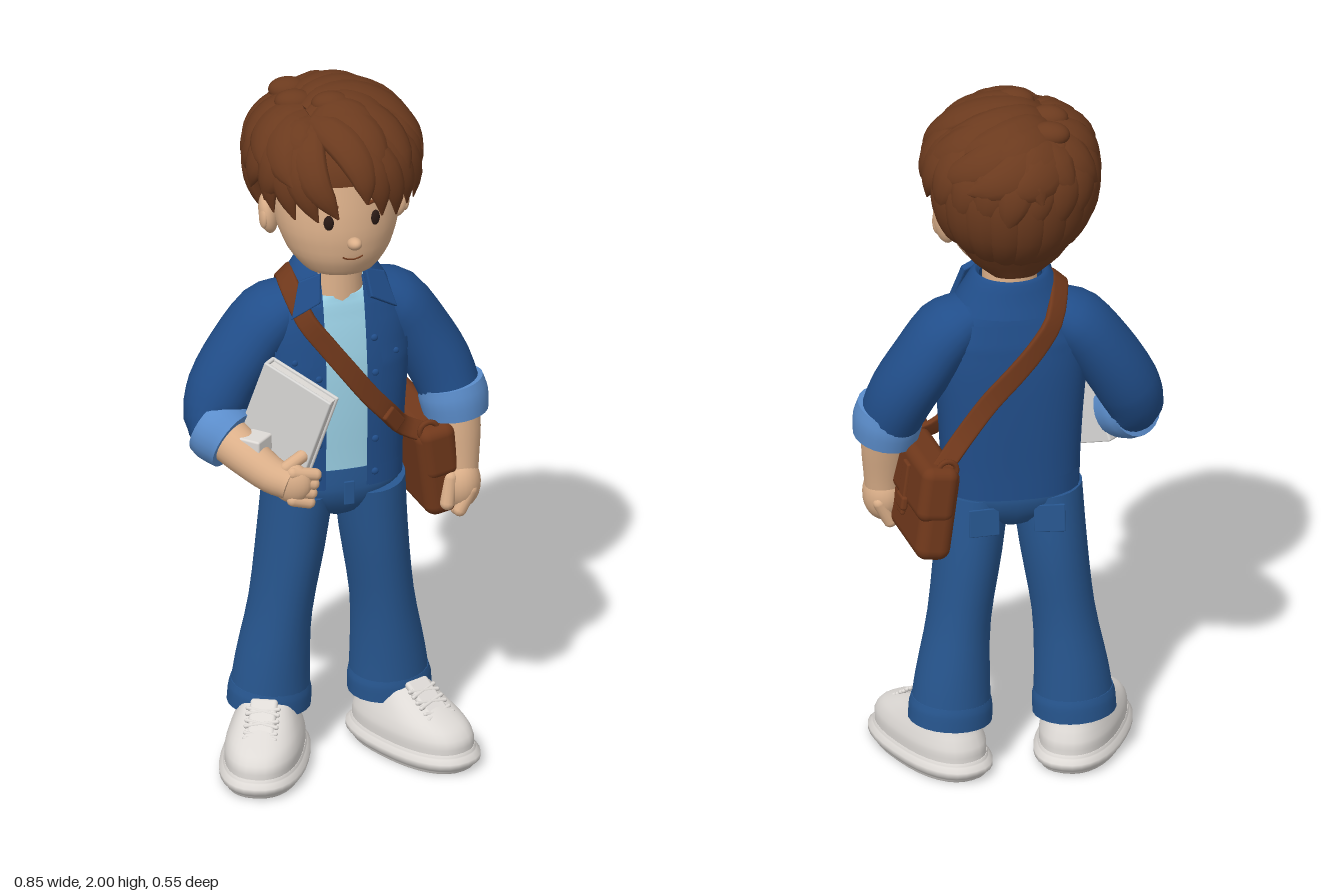
import * as THREE from 'three';
import { RoundedBoxGeometry } from 'three/addons/geometries/RoundedBoxGeometry.js';

const V = (x, y, z) => new THREE.Vector3(x, y, z);
const colours = {
  jacketDenim: 0x214e8a, jeansDenim: 0x27568f, cuffBlue: 0x5b8dcb, shirtBlue: 0x9dd3e8, skin: 0xdcb08a,
  hairBrown: 0x6b3a1e, leather: 0x70381b, shoeWhite: 0xdedad6, bookGrey: 0xd8d7d5, darkBrown: 0x2a1a15,
};
const M = {};
for (const [name, color] of Object.entries(colours)) {
  M[name] = new THREE.MeshStandardMaterial({ color, side: THREE.DoubleSide });
  M[name].name = name;
}

// Smooth skin through rings [x, y, z, halfWidth, halfDepth]; flat keeps rings level, gap leaves the front open
function loft(rings, { seg = 24, p = 1, flat = false, gap = 0, sub = 3, ref = () => V(0, 0, 1) } = {}) {
  const path = new THREE.CatmullRomCurve3(rings.map(r => V(r[0], r[1], r[2])));
  const size = new THREE.CatmullRomCurve3(rings.map(r => V(r[3], r[4] ?? r[3], 0)));
  const steps = (rings.length - 1) * sub, n = gap ? seg + 1 : seg, pos = [], idx = [];
  const bend = v => Math.sign(v) * Math.abs(v) ** p;
  for (let j = 0; j <= steps; j++) {
    const c = path.getPoint(j / steps), s = size.getPoint(j / steps);
    const t = flat ? V(0, 1, 0) : path.getTangent(j / steps);
    const side = t.clone().cross(ref(c)).normalize(), front = side.clone().cross(t);
    const g = gap ? Math.asin(Math.min(1, gap / s.x) ** (1 / p)) : 0;
    for (let i = 0; i < n; i++) {
      const u = Math.PI / 2 + g + (i / seg) * (2 * Math.PI - 2 * g);
      const q = c.clone().addScaledVector(side, s.x * bend(Math.cos(u))).addScaledVector(front, s.y * bend(Math.sin(u)));
      pos.push(q.x, q.y, q.z);
    }
  }
  for (let j = 0; j < steps; j++) for (let i = 0; i < seg; i++) {
    const a = j * n + i, c = j * n + (i + 1) % n;
    idx.push(a, a + n, c, a + n, c + n, c);
  }
  if (!gap) for (const end of [0, steps]) {
    const base = pos.length / 3, c = path.getPoint(end / steps);
    for (let i = 0; i < n; i++) pos.push(...pos.slice((end * n + i) * 3, (end * n + i) * 3 + 3));
    pos.push(c.x, c.y, c.z);
    for (let i = 0; i < n; i++) {
      const k = base + (i + 1) % n;
      idx.push(base + n, end ? k : base + i, end ? base + i : k);
    }
  }
  const geo = new THREE.BufferGeometry();
  geo.setAttribute('position', new THREE.Float32BufferAttribute(pos, 3));
  geo.setIndex(idx);
  geo.computeVertexNormals();
  return geo;
}

function add(parent, name, geo, mat, at = [0, 0, 0], rot = [0, 0, 0], scale = [1, 1, 1]) {
  const m = new THREE.Mesh(geo, mat);
  m.name = name;
  m.position.set(...at); m.rotation.set(...rot); m.scale.set(...scale);
  parent.add(m);
  return m;
}
const ball = (parent, name, mat, at, scale, rot) => add(parent, name, new THREE.SphereGeometry(1, 24, 16), mat, at, rot, scale);
function capsule(parent, name, mat, a, b, r) {
  const p = V(...a), d = V(...b).sub(p), m = add(parent, name, new THREE.CapsuleGeometry(r, d.length(), 6, 12), mat);
  m.position.copy(p).addScaledVector(d, 0.5);
  m.quaternion.setFromUnitVectors(V(0, 1, 0), d.normalize());
}

// Torso rings, and the depth of the chest or back at a given point
const torso = [[0, .84, 0, .188, .128], [0, .92, 0, .19, .13], [0, 1.05, 0, .197, .135], [0, 1.2, -.002, .208, .135],
  [0, 1.3, -.005, .206, .125], [0, 1.37, -.005, .18, .112], [0, 1.42, -.005, .135, .1], [0, 1.45, -.005, .1, .09]];
function surfaceZ(x, y, s = 1) {
  let k = 0;
  while (k < torso.length - 2 && y > torso[k + 1][1]) k++;
  const f = (y - torso[k][1]) / (torso[k + 1][1] - torso[k][1]);
  const [, , z, a, b] = torso[k].map((v, i) => v + (torso[k + 1][i] - v) * f);
  return z + s * b * Math.max(0, 1 - Math.abs(x / a) ** 2.5) ** .4;
}
// Thin cloth plate lying on the torso
function patch(parent, name, mat, x, y, w, h, off, s = 1) {
  const geo = new THREE.PlaneGeometry(w, h, 14, 10), P = geo.attributes.position;
  for (let i = 0; i < P.count; i++) {
    const px = P.getX(i) + x, py = P.getY(i) + y;
    P.setXYZ(i, px, py, surfaceZ(px, py, s) + s * off);
  }
  geo.computeVertexNormals();
  add(parent, name, geo, mat);
}

function buildHead(g) {
  add(g, 'neck', new THREE.CylinderGeometry(.072, .08, .18, 24), M.skin, [0, 1.44, .01]);
  add(g, 'head', loft([[0, 1.475, .07, .03, .03], [0, 1.495, .06, .1, .095], [0, 1.55, .045, .143, .14], [0, 1.62, .03, .168, .165],
    [0, 1.7, .01, .175, .18], [0, 1.8, 0, .165, .175], [0, 1.88, 0, .08, .08]], { flat: true, seg: 32 }), M.skin);
  ball(g, 'nose', M.skin, [0, 1.61, .203], [.02, .018, .03], [-.3, 0, 0]);
  add(g, 'mouth', new THREE.TorusGeometry(.05, .0022, 6, 16, 1.2), M.leather, [0, 1.606, .187], [0, 0, -Math.PI / 2 - .6]);
  for (const s of [1, -1]) {
    ball(g, 'ear', M.skin, [s * .182, 1.635, -.005], [.026, .06, .042], [0, s * .35, -s * .15]);
    ball(g, 'innerEar', M.skin, [s * .2, 1.632, .012], [.012, .035, .022]);
    ball(g, 'eye', M.darkBrown, [s * .066, 1.67, .179], [.014, .022, .009], [0, s * .35, 0]);
    capsule(g, 'eyebrow', M.leather, [s * .045, 1.718, .185], [s * .095, 1.724, .165], .005);
  }
}

function buildHair(g) {
  const C = V(0, 1.765, -.005);
  const onHair = (d, k) => V(d.x * .22, d.y * (d.y < 0 ? .26 : .19), d.z * .234).multiplyScalar(k).add(C);
  const aim = (az, th) => V(Math.sin(th) * Math.sin(az), Math.cos(th), Math.sin(th) * Math.cos(az));
  add(g, 'hairCap', new THREE.SphereGeometry(1, 32, 16, 0, Math.PI * 2, 0, 1.6), M.hairBrown, [0, 1.765, -.012], [-.12, 0, 0], [.212, .187, .224]);
  add(g, 'hairBack', loft([[0, 1.505, -.085, .06, .03], [0, 1.56, -.095, .12, .055], [0, 1.64, -.105, .165, .095], [0, 1.74, -.11, .185, .13],
    [0, 1.84, -.09, .17, .12]], { flat: true }), M.hairBrown);
  let seed = 7;
  const rnd = () => (seed = (seed * 16807) % 2147483647) / 2147483647;
  // A pointed lock curving over the skull between two directions, its tip flicked outwards
  function lock(name, from, to, w, k, flick = .06, curl = .12) {
    const across = from.clone().cross(to).normalize();
    const rings = [.45, .9, 1, .9, .6, .06].map((f, i) => {
      const t = i / 5, d = from.clone().lerp(to, t).addScaledVector(across, curl * Math.sin(t * Math.PI)).normalize();
      const p = onHair(d, k + .035 * Math.sin(t * Math.PI) + flick * t * t);
      return [p.x, p.y, p.z, w * f, w * .5 * f];
    });
    add(g, name, loft(rings, { seg: 12, ref: p => p.clone().sub(C) }), M.hairBrown);
  }
  const part = z => V(-.38, .9, z / .234).normalize();
  for (let i = 0; i < 9; i++) {
    const a = 1.98 + i * .29;
    lock('napeLock', aim(a, .8), aim(a, 2.32 + .25 * Math.sin(i * Math.PI / 8)), .058, .97, -.02, .04);
  }
  for (let i = 0; i < 15; i++) {
    const a = .95 + i * .31;
    lock('sideLock', aim(a, .5), aim(a + .1, 1.62 + rnd() * .2), .058 + rnd() * .012, .98, .05 + rnd() * .06);
  }
  for (let i = 0; i < 13; i++) { // middle layer fanning out of the parting
    const a = .25 + i * .44;
    lock('middleLock', part(.08 * Math.cos(a) - .02), aim(a, 1.25 + rnd() * .2), .06 + rnd() * .012, 1.0, .1 + rnd() * .06, a < Math.PI ? .2 : -.15);
  }
  for (let i = 0; i < 7; i++) { // long locks sweeping across the crown
    const a = .35 + i * .42;
    lock('crownLock', part(.1 - i * .035), aim(a, .88 + rnd() * .2), .058 + rnd() * .01, 1.03, .05, .2);
  }
  for (let i = 0; i < 4; i++) lock('crownLock', part(.08 - i * .06), aim(-.6 - i * .55, .95 + rnd() * .15), .05, 1.03, .06, -.15);
  const fringe = [[-1.1, 1.86, 1], [-.78, 1.86, 1], [-.48, 1.84, 1.01], [-.24, 1.78, 1.03], [.08, 1.62, 1.07], [.3, 1.8, 1.03], [.55, 1.87, 1.02],
    [.8, 1.84, 1], [1.08, 1.88, 1]];
  for (const [a, th, k] of fringe) lock('fringeLock', part(.09), aim(a, th), .05, k, .06, a < 0 ? -.12 : .12);
  for (const [x, y, z] of [[-.09, 1.94, -.12], [-.1, 1.945, -.03], [-.02, 1.965, .05]])
    ball(g, 'crownTuft', M.hairBrown, [x, y, z], [.055, .034, .04], [0, -.3, 0]);
}

function buildClothes(g) {
  const inner = torso.slice(0, 6).map(([x, y, z, a, b]) => [x, y, z, a - .014, b - .014]);
  add(g, 'shirt', loft([...inner, [0, 1.4, 0, .09, .085]], { flat: true, p: .8, seg: 32 }), M.shirtBlue);
  add(g, 'jacket', loft(torso, { flat: true, p: .8, seg: 48, gap: .058 }), M.jacketDenim);
  add(g, 'collar', loft([[0, 1.385, -.004, .165, .128], [0, 1.43, -.004, .138, .112], [0, 1.485, -.004, .098, .092], [0, 1.47, -.004, .086, .08]],
    { flat: true, gap: .066, seg: 36 }), M.jacketDenim);
  for (const s of [1, -1]) {
    patch(g, 'placket', M.jacketDenim, s * .078, 1.11, .036, .53, .006);
    for (let i = 0; i < 5; i++) ball(g, 'button', M.jacketDenim, [s * .08, .88 + i * .1, surfaceZ(.08, .88 + i * .1) + .007], [.01, .01, .006]);
    patch(g, 'chestPocket', M.jacketDenim, s * .143, 1.185, .082, .1, .006);
    patch(g, 'pocketFlap', M.jacketDenim, s * .143, 1.235, .09, .035, .012);
    ball(g, 'button', M.jacketDenim, [s * .143, 1.23, surfaceZ(.143, 1.23) + .013], [.009, .009, .005]);
    patch(g, 'hemBand', M.jacketDenim, s * .12, .868, .115, .055, .006);
    const wing = new THREE.Shape([[0, .07], [.055, .055], [.085, -.04], [.01, -.005]].map(q => new THREE.Vector2(s * q[0], q[1])));
    add(g, 'collarWing', new THREE.ExtrudeGeometry(wing, { depth: .012, bevelSize: .004, bevelThickness: .004, bevelSegments: 2 }),
      M.jacketDenim, [s * .062, 1.405, .108], [-.38, s * .35, 0]);
    // Trouser leg, turn-up and back pocket
    add(g, 'trouserLeg', loft([[s * .1, .82, .005, .098, .118], [s * .117, .65, -.008, .092, .12], [s * .143, .45, -.018, .086, .11],
      [s * .163, .27, -.03, .102, .111], [s * .17, .16, -.035, .112, .112]]), M.jeansDenim);
    add(g, 'turnUp', loft([[s * .168, .215, -.033, .108, .112], [s * .169, .19, -.034, .114, .115], [s * .171, .15, -.035, .115, .114]]), M.jeansDenim);
    add(g, 'backPocket', new RoundedBoxGeometry(.085, .08, .008, 2, .003), M.jeansDenim, [s * .09, .77, -.115], [.08, s * .1, 0]);
  }
  patch(g, 'backYoke', M.jacketDenim, 0, 1.315, .3, .1, .006, -1);
  patch(g, 'backHem', M.jacketDenim, 0, .868, .35, .055, .006, -1);
  add(g, 'hips', loft([[0, .725, 0, .03, .05], [0, .745, 0, .08, .085], [0, .79, 0, .165, .113], [0, .83, 0, .188, .122], [0, .89, 0, .178, .118]],
    { flat: true, p: .9 }), M.jeansDenim);
  add(g, 'fly', new RoundedBoxGeometry(.03, .07, .008, 2, .003), M.jeansDenim, [.01, .82, .12]);
}

function buildLeftArm(g) {
  add(g, 'leftSleeve', loft([[.11, 1.365, -.01, .06, .085], [.18, 1.315, -.02, .088, .11], [.245, 1.22, -.018, .09, .112],
    [.3, 1.12, .002, .09, .106], [.33, 1.03, .028, .083, .095]]), M.jacketDenim);
  add(g, 'leftCuff', loft([[.325, 1.075, .025, .09, .101], [.332, 1.035, .03, .095, .105], [.338, .985, .035, .089, .1]]), M.cuffBlue);
  add(g, 'leftForearm', loft([[.332, 1.04, .035, .07], [.335, .94, .053, .066, .062], [.337, .86, .065, .056, .054], [.337, .8, .072, .05]]), M.skin);
  ball(g, 'leftHand', M.skin, [.336, .79, .075], [.058, .078, .064]);
  for (let i = 0; i < 4; i++) capsule(g, 'leftFinger', M.skin, [.355, .78, .028 + i * .03], [.325, .712 + Math.abs(i - 1.5) * .007, .032 + i * .028], .0185);
  capsule(g, 'leftThumb', M.skin, [.3, .82, .11], [.288, .75, .12], .02);
}

function buildRightArm(g) {
  add(g, 'rightSleeve', loft([[-.11, 1.365, -.01, .06, .085], [-.18, 1.315, -.02, .088, .11], [-.255, 1.22, -.02, .09, .108],
    [-.315, 1.12, -.014, .09, .1], [-.34, 1.05, .005, .082, .085], [-.325, 1.015, .045, .08, .08]]), M.jacketDenim);
  add(g, 'rightCuff', loft([[-.35, 1.03, .015, .088], [-.332, 1.018, .04, .093], [-.305, 1, .075, .086]], { ref: () => V(0, 1, 0) }), M.cuffBlue);
  add(g, 'rightForearm', loft([[-.335, 1.02, .04, .066], [-.285, .98, .13, .058], [-.23, .94, .195, .05], [-.19, .925, .225, .045]],
    { ref: () => V(0, 1, 0) }), M.skin);
  add(g, 'wristBand', new RoundedBoxGeometry(.075, .05, .065, 2, .006), M.shoeWhite, [-.262, 1.015, .14], [0, .75, 0]);
  ball(g, 'rightHand', M.skin, [-.185, .925, .223], [.056, .058, .034], [0, -.5, 0]);
  for (let i = 0; i < 4; i++) capsule(g, 'rightFinger', M.skin, [-.185, .96 - i * .027, .238], [-.122 - i * .006, .948 - i * .027, .238], .0175);
  capsule(g, 'rightThumb', M.skin, [-.2, .97, .22], [-.15, .995, .21], .018);
}

function buildBook(g) {
  const book = new THREE.Group();
  book.name = 'book';
  const w = V(.15, -.08, .16).normalize(), n = w.clone().cross(V(.05, .33, .06)).normalize();
  book.quaternion.setFromRotationMatrix(new THREE.Matrix4().makeBasis(w, n.clone().cross(w), n));
  book.position.set(-.183, 1.05, .143);
  for (const s of [1, -1]) add(book, 'cover', new RoundedBoxGeometry(.22, .345, .01, 2, .004), M.bookGrey, [0, 0, s * .019]);
  add(book, 'pages', new THREE.BoxGeometry(.208, .33, .03), M.shoeWhite);
  add(book, 'spine', new RoundedBoxGeometry(.012, .345, .046, 2, .005), M.bookGrey, [-.106, 0, 0]);
  g.add(book);
}

function buildBag(g) {
  const bag = new THREE.Group();
  bag.name = 'satchel';
  bag.position.set(.25, .845, -.055);
  bag.rotation.set(.04, .12, .14);
  add(bag, 'bagBody', new RoundedBoxGeometry(.1, .27, .35, 4, .035), M.leather);
  add(bag, 'bagFlap', new RoundedBoxGeometry(.105, .16, .36, 4, .03), M.leather, [.01, .06, 0]);
  add(bag, 'flapStrap', new RoundedBoxGeometry(.014, .15, .045, 2, .006), M.leather, [.065, .03, -.03]);
  add(bag, 'buckle', new RoundedBoxGeometry(.02, .04, .06, 2, .008), M.leather, [.066, -.01, -.03]);
  for (const s of [1, -1]) add(bag, 'strapRing', new THREE.TorusGeometry(.026, .008, 8, 16), M.leather, [-.01, .13, s * .15]);
  g.add(bag);
  // Shoulder strap over the chest and down the back
  const line = (pts, s) => pts.map(([x, y]) => [x, y, surfaceZ(x, y, s) + s * .016]);
  const pts = [[.25, .95, .09], ...line([[.175, .985], [.12, 1.05], [.06, 1.12], [0, 1.2], [-.06, 1.28], [-.11, 1.35]], 1), [-.135, 1.425, .045],
    [-.13, 1.44, -.03], ...line([[-.1, 1.37], [-.05, 1.3], [.01, 1.23], [.08, 1.15]], -1), [.15, 1.06, -.155], [.2, 1, -.175], [.24, .95, -.19]];
  add(g, 'shoulderStrap', loft(pts.map(q => [...q, .028, .009]),
    { seg: 16, p: .4, ref: p => V(p.x * .5, Math.max(0, p.y - 1.36), p.z) }), M.leather);
  add(g, 'strapSlider', new RoundedBoxGeometry(.07, .045, .016, 2, .006), M.leather, [.13, 1.035, surfaceZ(.13, 1.035) + .027], [0, .45, -.87]);
}

function buildShoe(g, s) {
  const shoe = new THREE.Group();
  shoe.name = s > 0 ? 'leftShoe' : 'rightShoe';
  shoe.position.set(s * .21, 0, .057);
  shoe.rotation.y = s * .42;
  add(shoe, 'sole', loft([[0, 0, 0, .106, .21], [0, .01, 0, .11, .216], [0, .045, 0, .11, .216], [0, .055, 0, .106, .211]], { flat: true, p: .85, seg: 32 }), M.shoeWhite);
  add(shoe, 'shoeUpper', loft([[0, .045, 0, .105, .21], [0, .08, 0, .106, .208], [0, .11, -.006, .099, .19], [0, .135, -.025, .089, .158],
    [0, .165, -.055, .077, .118], [0, .2, -.085, .068, .082]], { flat: true, p: .85, seg: 32 }), M.shoeWhite);
  add(shoe, 'tongue', new RoundedBoxGeometry(.075, .022, .13, 3, .01), M.shoeWhite, [0, .163, .06], [.62, 0, 0]);
  for (let i = 0; i < 3; i++) for (const t of [1, -1])
    capsule(shoe, 'lace', M.shoeWhite, [-t * .042, .187 - i * .022, .036 + i * .032], [t * .042, .177 - i * .022, .052 + i * .032], .006);
  g.add(shoe);
}

export function createModel() {
  const g = new THREE.Group();
  g.name = 'studentFigure';
  for (const build of [buildHead, buildHair, buildClothes, buildLeftArm, buildRightArm, buildBook, buildBag]) build(g);
  for (const s of [1, -1]) buildShoe(g, s);
  return g;
}
